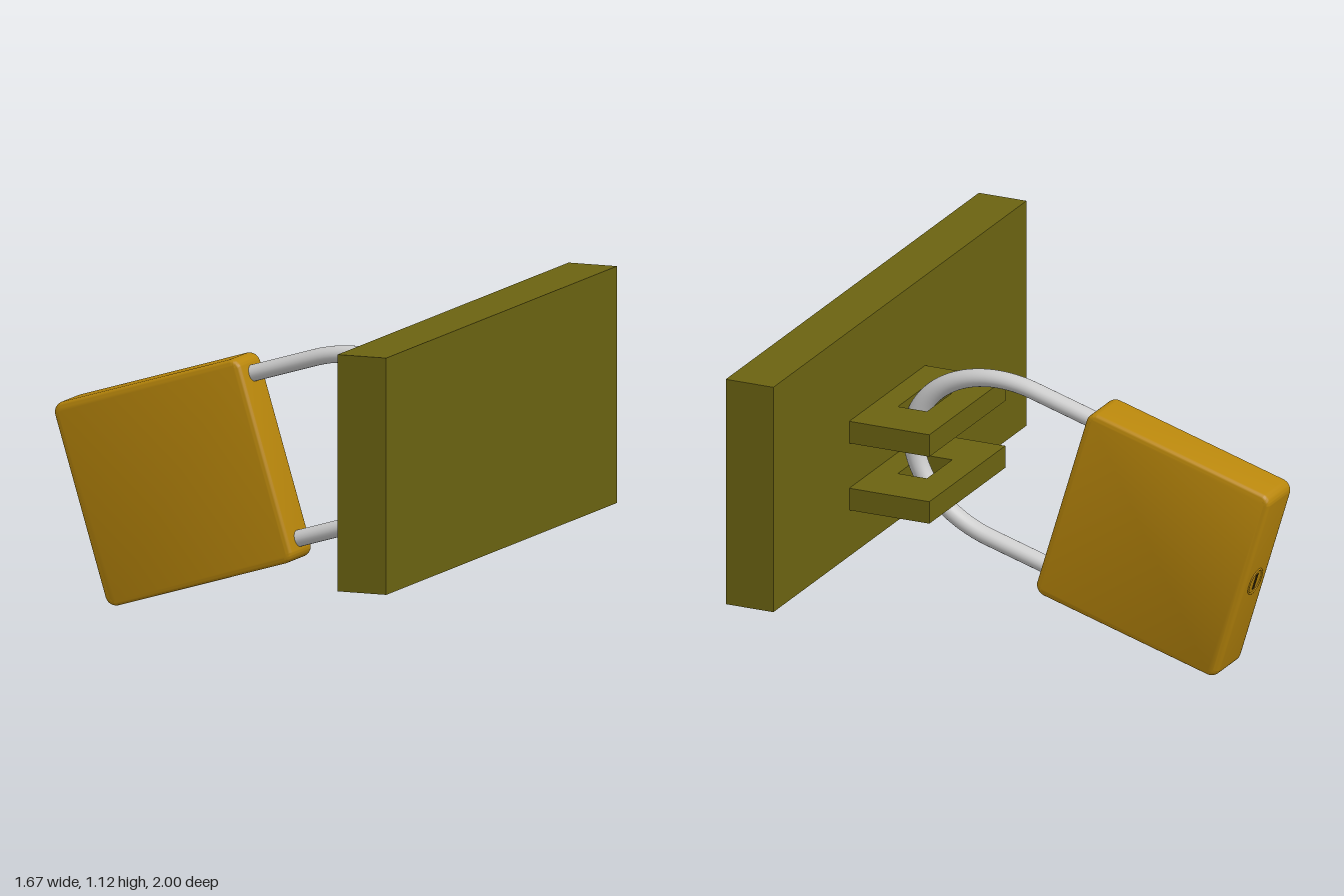
import * as THREE from 'three';
import { toCreasedNormals } from 'three/addons/utils/BufferGeometryUtils.js';

const BRASS = 0xb8860b, OLIVE = 0x6b6311, STEEL = 0xcccccc;

function addMesh(parent, name, geometry, color) {
  const mesh = new THREE.Mesh(geometry, new THREE.MeshStandardMaterial({ color }));
  mesh.name = name;
  parent.add(mesh);
  return mesh;
}

// Square with rounded corners, centred on the origin
function roundedSquare(size, r) {
  const h = size / 2, c = h - r;
  const shape = new THREE.Shape();
  shape.absarc(c, c, r, 0, Math.PI / 2);
  shape.absarc(-c, c, r, Math.PI / 2, Math.PI);
  shape.absarc(-c, -c, r, Math.PI, Math.PI * 1.5);
  shape.absarc(c, -c, r, Math.PI * 1.5, Math.PI * 2);
  shape.closePath();
  return shape;
}

// Flat staple: a slab with a rectangular slot for the shackle
function stapleGeometry() {
  const shape = new THREE.Shape();
  shape.moveTo(0.35, -0.2).lineTo(0.66, -0.2).lineTo(0.66, 0.4).lineTo(0.35, 0.4).closePath();
  const slot = new THREE.Path();
  slot.moveTo(0.455, 0).lineTo(0.455, 0.2).lineTo(0.565, 0.2).lineTo(0.565, 0).closePath();
  shape.holes.push(slot);
  return new THREE.ExtrudeGeometry(shape, { depth: 0.08, bevelEnabled: false }).rotateX(-Math.PI / 2);
}

export function createModel() {
  const model = new THREE.Group();
  model.name = 'padlockOnPlate';

  // Mounting plate
  addMesh(model, 'plate', new THREE.BoxGeometry(0.18, 0.82, 2), OLIVE).position.set(0.743, 0.71, 0);

  // Two staples
  for (const [name, y] of [['upperStaple', 0.712], ['lowerStaple', 0.468]]) {
    addMesh(model, name, stapleGeometry(), OLIVE).position.y = y;
  }

  // Tilted padlock: local +x runs towards the shackle
  const padlock = new THREE.Group();
  padlock.name = 'padlock';
  padlock.position.set(-0.397, 0.441, -0.109);
  padlock.rotation.z = THREE.MathUtils.degToRad(16.8);
  model.add(padlock);

  // Body with softened rims
  const bevel = 0.018, depth = 0.188;
  const body = new THREE.ExtrudeGeometry(roundedSquare(0.722 - 2 * bevel, 0.02), {
    depth: depth - 2 * bevel, bevelThickness: bevel, bevelSize: bevel, bevelSegments: 4, curveSegments: 6,
  }).translate(0, 0, bevel - depth / 2);
  addMesh(padlock, 'body', toCreasedNormals(body, 0.6), BRASS);

  // Shackle: two straight legs and a stretched half ring
  const shackle = new THREE.Group();
  shackle.name = 'shackle';
  padlock.add(shackle);
  const spread = 0.293, tube = 0.029, bend = 0.6, start = 0.3;
  for (const [name, side] of [['upperLeg', 1], ['lowerLeg', -1]]) {
    const leg = new THREE.CylinderGeometry(tube, tube, bend - start, 24).rotateZ(Math.PI / 2).scale(1, 1, 1.2);
    addMesh(shackle, name, leg, STEEL).position.set((start + bend) / 2, side * spread, 0);
  }
  const bow = new THREE.TorusGeometry(spread, tube, 24, 48, Math.PI).rotateZ(-Math.PI / 2).scale(1.29, 1, 1.2);
  addMesh(shackle, 'bow', bow, STEEL).position.x = bend;

  // Keyhole on the face opposite the shackle
  const keyhole = new THREE.Group();
  keyhole.name = 'keyhole';
  keyhole.position.x = -0.361;
  padlock.add(keyhole);
  addMesh(keyhole, 'keyholeRim', new THREE.TorusGeometry(0.046, 0.004, 8, 32).rotateY(Math.PI / 2), BRASS);
  addMesh(keyhole, 'keySlot', new THREE.BoxGeometry(0.004, 0.06, 0.014), 0x3a2a04);

  return model;
}
